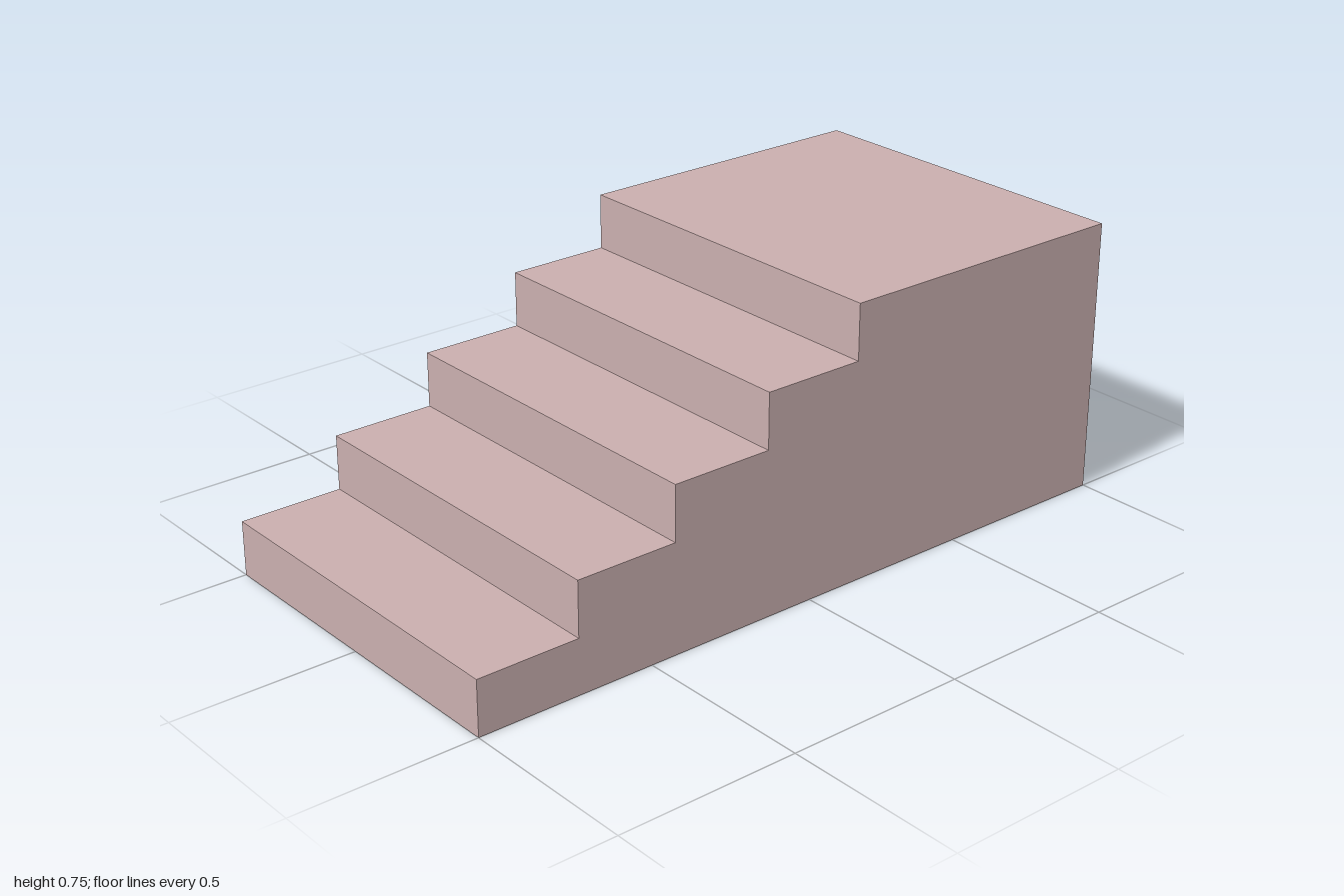
import * as THREE from 'three';

const STEPS = 5;
const WIDTH = 1;
const RISE = 0.15;
const TREAD = 2 / 7;
const FRONT = 1;
const BACK = -1;

// Side profile: horizontal axis is z, vertical axis is y
function stairProfile() {
  const shape = new THREE.Shape();
  shape.moveTo(BACK, 0);
  shape.lineTo(FRONT, 0);
  for (let i = 0; i < STEPS; i++) {
    const riserZ = FRONT - i * TREAD;
    const treadEnd = i === STEPS - 1 ? BACK : riserZ - TREAD; // last tread is the landing
    shape.lineTo(riserZ, (i + 1) * RISE);
    shape.lineTo(treadEnd, (i + 1) * RISE);
  }
  shape.closePath();
  return shape;
}

export function createModel() {
  const group = new THREE.Group();
  group.name = 'staircase';

  // Solid flight of steps with landing, extruded across the width
  const geometry = new THREE.ExtrudeGeometry(stairProfile(), { depth: WIDTH, bevelEnabled: false });
  geometry.rotateY(-Math.PI / 2);
  geometry.translate(WIDTH / 2, 0, 0);

  const material = new THREE.MeshStandardMaterial({ color: 0xc9aeae });
  const stairs = new THREE.Mesh(geometry, material);
  stairs.name = 'stepsAndLanding';
  group.add(stairs);
  return group;
}
